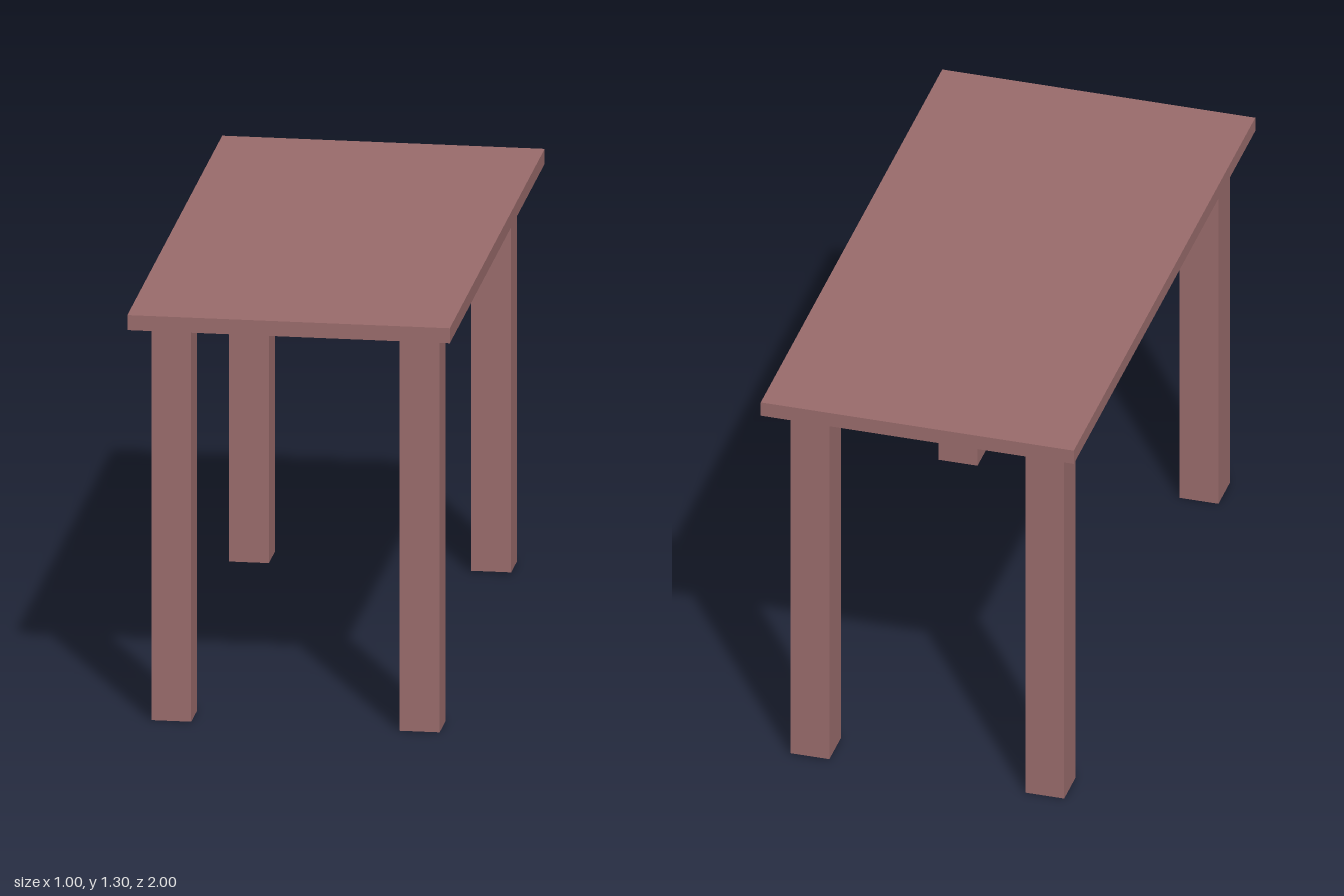
import * as THREE from 'three';

export function createModel() {
  const group = new THREE.Group();
  group.name = 'table';
  const wood = new THREE.MeshStandardMaterial({ color: 0x996b6b });

  function addBox(name, size, x, bottom, z) {
    const mesh = new THREE.Mesh(new THREE.BoxGeometry(...size), wood);
    mesh.name = name;
    mesh.position.set(x, bottom + size[1] / 2, z);
    group.add(mesh);
  }

  // Table top
  addBox('tableTop', [1, 0.048, 2], 0, 1.257, 0);

  // Square legs, placed slightly unevenly: name, x, bottom, z
  const legSize = [0.124, 1.252, 0.126];
  const legs = [
    ['frontLeftLeg', 0.4, 0, 0.893],
    ['frontRightLeg', -0.371, 0, 0.888],
    ['backLeftLeg', 0.363, 0.005, -0.867],
    ['backRightLeg', -0.39, 0, -0.877],
  ];
  for (const [name, x, bottom, z] of legs) addBox(name, legSize, x, bottom, z);

  return group;
}
